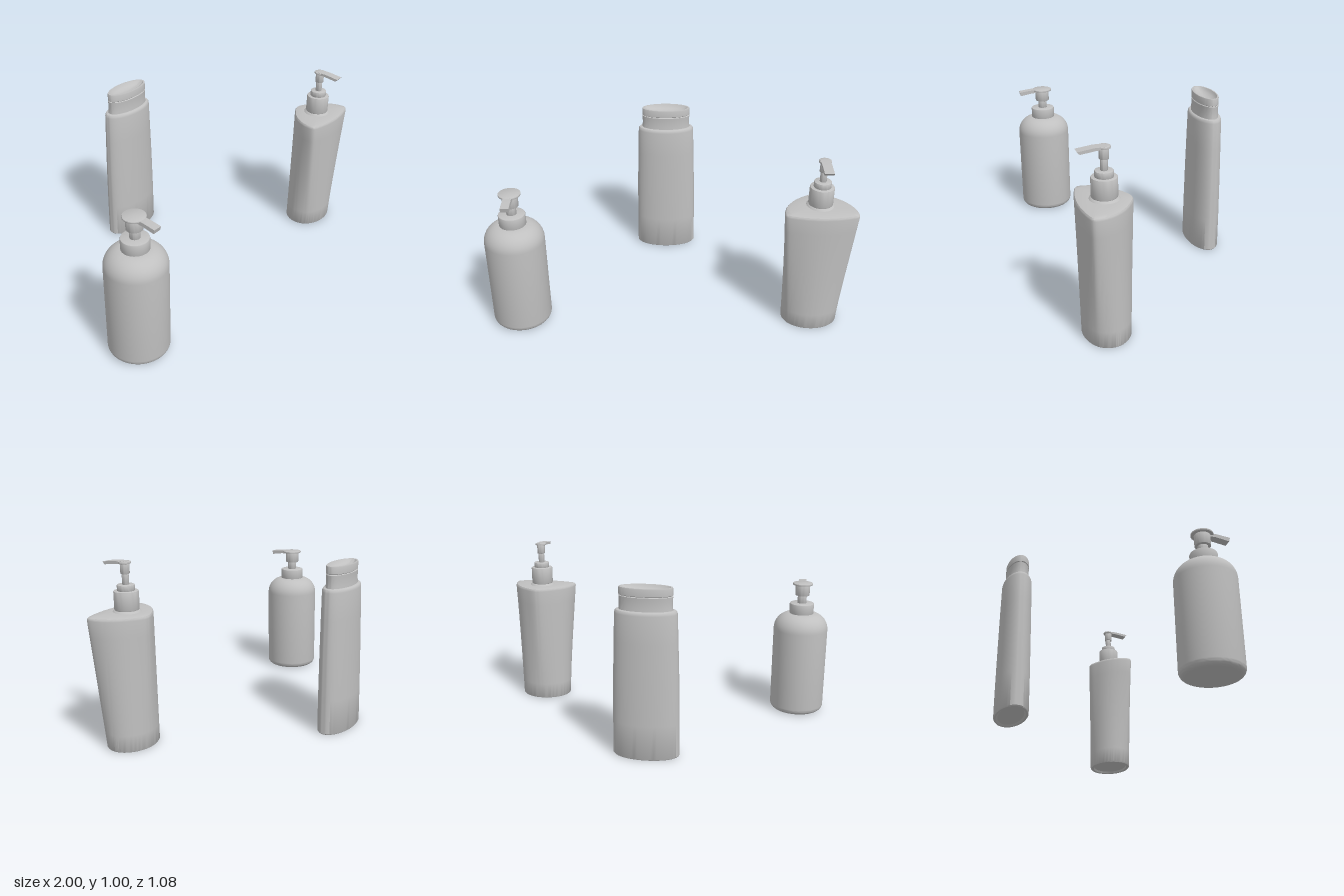
import * as THREE from 'three';
import { toCreasedNormals } from 'three/addons/utils/BufferGeometryUtils.js';

const plastic = new THREE.MeshStandardMaterial({ color: 0xc0c0c0 });
plastic.name = 'grey plastic';

function add(group, name, geometry) {
  const mesh = new THREE.Mesh(toCreasedNormals(geometry, 0.65), plastic);
  mesh.name = name;
  group.add(mesh);
  return mesh;
}

// Round part from a bottom-to-top profile of [radius, y]
function lathe(profile, segments = 48) {
  return new THREE.LatheGeometry(profile.map(([r, y]) => new THREE.Vector2(r, y)), segments);
}

// Cylinder with softened rims
function softCylinder(r, y0, y1, e = 0.006) {
  return lathe([[0, y0], [r - e, y0], [r - e * 0.3, y0 + e * 0.3], [r, y0 + e],
    [r, y1 - e], [r - e * 0.3, y1 - e * 0.3], [r - e, y1], [0, y1]], 40);
}

// Skin over stacked closed loops of [x, y, z], ordered bottom to top
function loft(loops) {
  const n = loops[0].length, index = [];
  for (let i = 0; i < loops.length - 1; i++) {
    for (let j = 0; j < n; j++) {
      const a = i * n + j, b = i * n + (j + 1) % n;
      index.push(a, a + n, b, b, a + n, b + n);
    }
  }
  const g = new THREE.BufferGeometry();
  g.setAttribute('position', new THREE.Float32BufferAttribute(loops.flat(2), 3));
  g.setIndex(index);
  return g;
}

function ellipseLoft(rings, n = 64) {
  return loft(rings.map(([rx, y, rz]) => Array.from({ length: n }, (_, j) => {
    const t = (j / n) * Math.PI * 2;
    return [rx * Math.cos(t), y, rz * Math.sin(t)];
  })));
}

// Spout from a side profile of [z, y], extruded across x
function spout(profile, width) {
  const shape = new THREE.Shape(profile.map(([z, y]) => new THREE.Vector2(z, y)));
  return new THREE.ExtrudeGeometry(shape, { depth: width, bevelEnabled: false })
    .translate(0, 0, -width / 2).rotateY(-Math.PI / 2);
}

// Quarter-round profile points from the side (a = 0) to the top (a = 90 degrees)
function arc(cx, cy, rx, ry, from, to, steps = 10) {
  return Array.from({ length: steps + 1 }, (_, i) => {
    const a = from + (to - from) * i / steps;
    return [cx + rx * Math.cos(a), cy + ry * Math.sin(a)];
  });
}

function roundPumpBottle() {
  const g = new THREE.Group();
  g.name = 'roundPumpBottle';
  add(g, 'roundBody', lathe([[0, 0],
    ...arc(0.128, 0.035, 0.035, 0.035, -Math.PI / 2, 0, 8),
    ...arc(0.063, 0.52, 0.1, 0.1, 0, Math.PI / 2, 12), [0, 0.62]], 64));
  add(g, 'collar', softCylinder(0.073, 0.615, 0.682));
  add(g, 'stem', softCylinder(0.027, 0.68, 0.735, 0.002));
  add(g, 'pumpHead', softCylinder(0.043, 0.73, 0.797, 0.003));
  add(g, 'pumpDisc', softCylinder(0.06, 0.795, 0.806, 0.003));
  add(g, 'spout', spout([[0, 0.787], [0.07, 0.785], [0.142, 0.773], [0.148, 0.796], [0.07, 0.805], [0, 0.805]], 0.045));
  g.position.set(-0.837, 0, 0.375);
  return g;
}

function ovalBottle() {
  const g = new THREE.Group();
  g.name = 'ovalBottle';
  add(g, 'ovalBody', ellipseLoft([
    [0, 0.008, 0], [0.155, 0.008, 0.068], [0.165, 0, 0.078], [0.179, 0, 0.088],
    [0.184, 0.006, 0.092], [0.183, 0.2, 0.091], [0.179, 0.45, 0.088], [0.173, 0.65, 0.085],
    [0.168, 0.805, 0.082], [0.166, 0.815, 0.08], [0.161, 0.822, 0.075], [0.15, 0.825, 0.066], [0, 0.825, 0]]));
  add(g, 'capBase', ellipseLoft([
    [0, 0.82, 0], [0.145, 0.82, 0.065], [0.143, 0.84, 0.063], [0.142, 0.86, 0.062],
    [0.143, 0.88, 0.062], [0.144, 0.897, 0.063], [0.139, 0.901, 0.058], [0, 0.901, 0]]));
  // Lid with a dished top
  add(g, 'capLid', ellipseLoft([
    [0, 0.9, 0], [0.139, 0.9, 0.058], [0.144, 0.904, 0.063], [0.144, 0.94, 0.063],
    [0.142, 0.945, 0.061], [0.132, 0.945, 0.054], [0.122, 0.935, 0.048],
    [0.1, 0.925, 0.038], [0.06, 0.918, 0.022], [0, 0.915, 0]]));
  g.position.set(-0.017, 0, -0.445);
  return g;
}

function taperedPumpBottle() {
  const g = new THREE.Group();
  g.name = 'taperedPumpBottle';
  // Rounded triangle at the shoulder that blends into an oval at the base
  const half = [[0.19, 0.098], [0.175, 0.107], [0.092, 0.128]];
  const side = [[0.082, -0.102], [0.144, -0.048], [0.182, 0.015], [0.195, 0.075]];
  const mirror = (pts) => pts.map(([x, z]) => [-x, z]).reverse();
  const outline = [...half, [0, 0.136], ...mirror(half), ...mirror(side), [0, -0.139], ...side];
  const curve = new THREE.CatmullRomCurve3(outline.map(([x, z]) => new THREE.Vector3(x, 0, z)), true);
  const points = curve.getSpacedPoints(96).slice(0, 96);
  const ring = (y, scale, blend) => points.map((p) => {
    const t = Math.atan2(p.z / 0.137, p.x / 0.195);
    const x = THREE.MathUtils.lerp(p.x, 0.155 * Math.cos(t), blend);
    const z = THREE.MathUtils.lerp(p.z, 0.124 * Math.sin(t), blend);
    return [x * scale, y, z * scale];
  });
  const walls = Array.from({ length: 9 }, (_, i) => ring(0.006 + 0.709 * i / 8, 1, 0.95 * (1 - i / 8)));
  add(g, 'taperedBody', loft([
    ring(0.01, 0, 0.95), ring(0.01, 0.8, 0.95), ring(0, 0.84, 0.95), ring(0, 0.97, 0.95),
    ...walls, ring(0.724, 0.99, 0), ring(0.729, 0.965, 0), ring(0.733, 0.85, 0),
    ring(0.736, 0.6, 0), ring(0.738, 0.3, 0), ring(0.738, 0, 0)]));
  add(g, 'neckRing', lathe([[0, 0.73], [0.078, 0.732], [0.07, 0.742], [0.058, 0.75], [0, 0.75]], 40));
  add(g, 'collar', softCylinder(0.065, 0.745, 0.848));
  add(g, 'collarTop', softCylinder(0.046, 0.845, 0.879, 0.004));
  add(g, 'stem', softCylinder(0.018, 0.875, 0.94, 0.002));
  add(g, 'stemSleeve', softCylinder(0.024, 0.935, 0.99, 0.002));
  add(g, 'pumpDisc', softCylinder(0.033, 0.988, 0.999, 0.003));
  add(g, 'spout', spout([[-0.01, 0.986], [0.04, 0.985], [0.118, 0.974], [0.131, 0.988], [0.05, 0.999], [-0.01, 1]], 0.05));
  g.position.set(0.803, 0, 0.375);
  return g;
}

export function createModel() {
  const model = new THREE.Group();
  model.name = 'bottleSet';
  model.add(roundPumpBottle(), ovalBottle(), taperedPumpBottle());
  return model;
}
